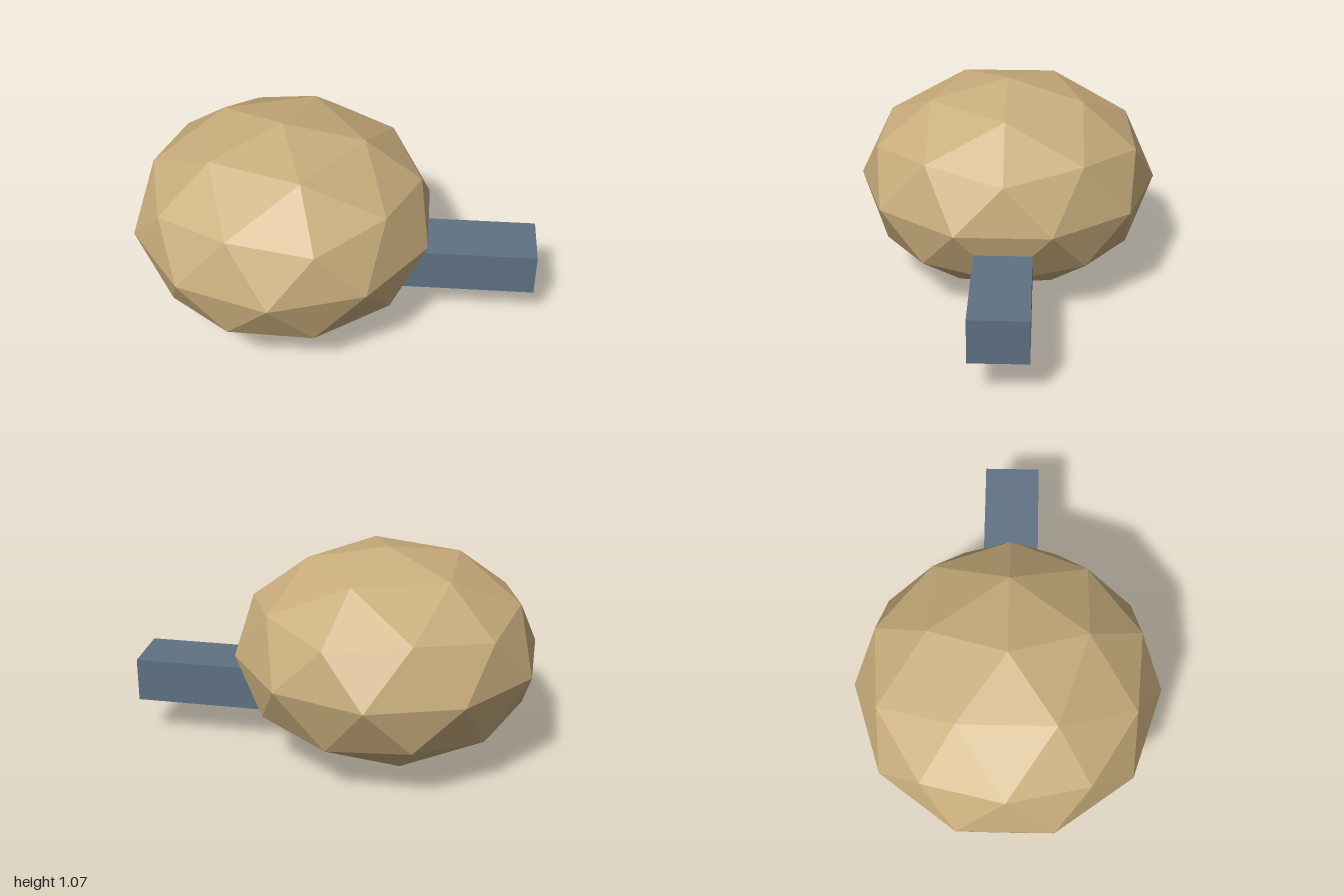
import * as THREE from 'three';

export function createModel() {
  const model = new THREE.Group();
  const tan = new THREE.MeshStandardMaterial({ color: 0xc9ad7c });
  tan.name = 'sandy tan';
  const slate = new THREE.MeshStandardMaterial({ color: 0x5f7183 });
  slate.name = 'slate blue';

  // Body: once-subdivided icosahedron with its poles on the y axis, squashed in height
  const ringY = 1 / Math.sqrt(5), ringR = 2 / Math.sqrt(5);
  const points = [0, 1, 0, 0, -1, 0];
  const faces = [];
  for (let i = 0; i < 5; i++) {
    const upper = (i * 2 * Math.PI) / 5, lower = upper + Math.PI / 5;
    points.push(ringR * Math.cos(upper), ringY, ringR * Math.sin(upper));
    points.push(ringR * Math.cos(lower), -ringY, ringR * Math.sin(lower));
    const u = 2 + 2 * i, l = u + 1;
    const nextU = 2 + 2 * ((i + 1) % 5), nextL = nextU + 1;
    faces.push(0, nextU, u, u, nextU, l, l, nextU, nextL, 1, l, nextL);
  }
  const bodyGeometry = new THREE.PolyhedronGeometry(points, faces, 1, 1);
  bodyGeometry.scale(0.763, 0.535, 0.763);
  bodyGeometry.computeVertexNormals(); // unshared corners give flat facets
  const body = new THREE.Mesh(bodyGeometry, tan);
  body.name = 'body';
  body.position.set(-0.274, 0.535, 0);
  model.add(body);

  // Square arm running out of the lower side of the body
  const arm = new THREE.Mesh(new THREE.BoxGeometry(0.9, 0.224, 0.284), slate);
  arm.name = 'arm';
  arm.position.set(0.55, 0.312, 0);
  model.add(arm);

  return model;
}
